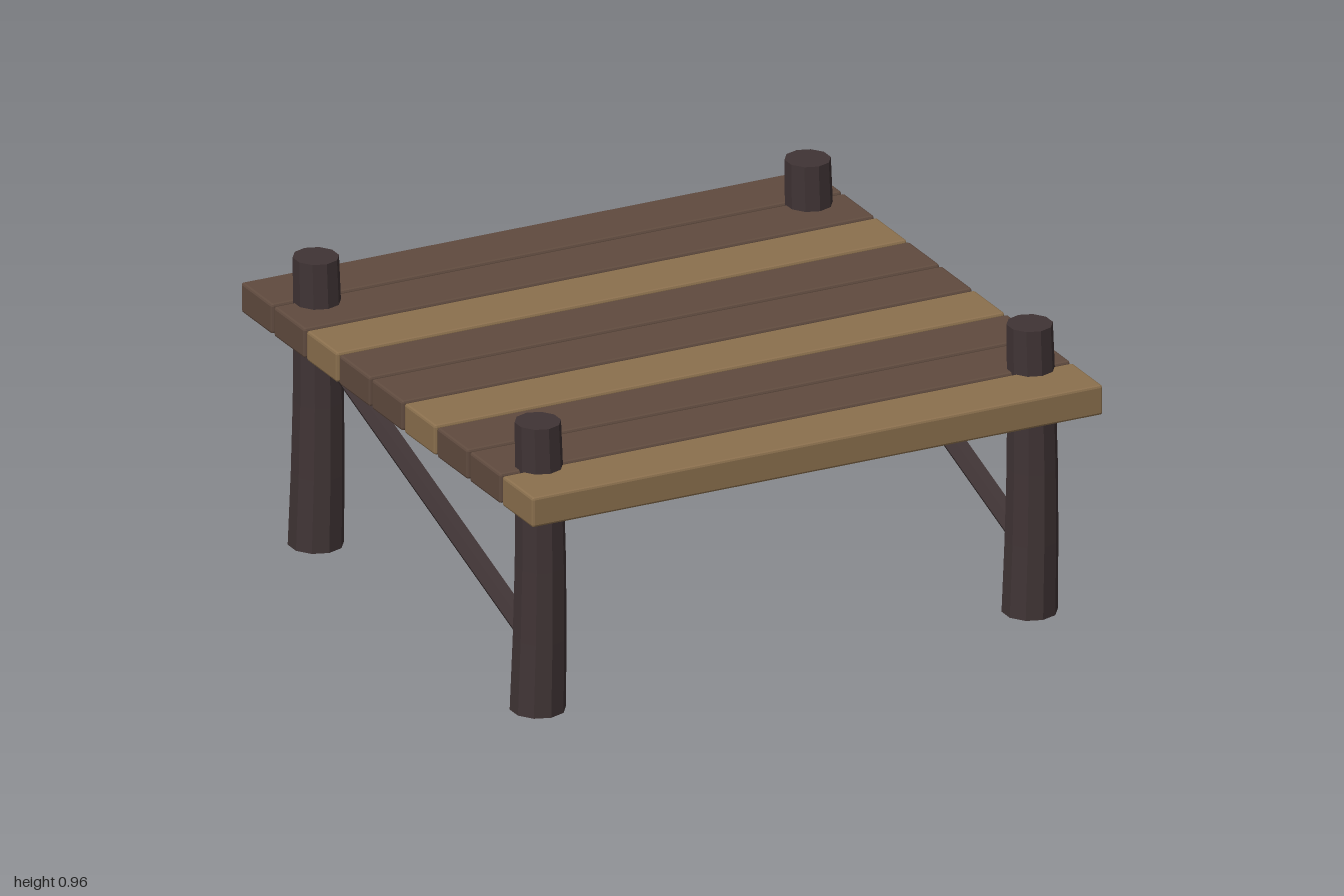
import * as THREE from 'three';
import { RoundedBoxGeometry } from 'three/addons/geometries/RoundedBoxGeometry.js';

const paint = (name, color) => {
  const m = new THREE.MeshStandardMaterial({ color, flatShading: true });
  m.name = name;
  return m;
};

// Tapered log with a slight bow towards +x halfway up
function postGeometry() {
  const height = 0.965;
  const g = new THREE.CylinderGeometry(0.075, 0.091, height, 10, 4);
  g.translate(0, height / 2, 0);
  const p = g.attributes.position;
  for (let i = 0; i < p.count; i++) {
    const t = p.getY(i) / height;
    p.setX(i, p.getX(i) * 0.97 + 0.009 * Math.sin(Math.PI * t));
  }
  g.computeVertexNormals();
  return g;
}

export function createModel() {
  const group = new THREE.Group();
  group.name = 'woodenDock';
  const tan = paint('tanWood', 0x8b704e);
  const brown = paint('brownWood', 0x604b3f);
  const dark = paint('darkWood', 0x403435);

  const add = (name, geometry, material, x, y, z) => {
    const mesh = new THREE.Mesh(geometry, material);
    mesh.name = name;
    mesh.position.set(x, y, z);
    group.add(mesh);
    return mesh;
  };

  // Deck: nine chamfered planks, every third one tan
  const plank = new RoundedBoxGeometry(1.995, 0.1, 0.207, 1, 0.008);
  for (let i = 0; i < 9; i++) {
    add('plank' + (i + 1), plank, i % 3 === 2 ? tan : brown, 0, 0.765, (i - 4) * 0.2205);
  }

  // Corner posts
  const post = postGeometry();
  for (const x of [-0.86, 0.86]) {
    for (const z of [-0.745, 0.755]) {
      add(z > 0 ? 'frontPost' : 'backPost', post, dark, x, 0, z);
    }
  }

  // Diagonal braces: low at the front posts, high at the back posts
  const low = new THREE.Vector3(0, 0.222, 0.71);
  const high = new THREE.Vector3(0, 0.695, -0.7);
  const axis = high.clone().sub(low);
  const brace = new THREE.CylinderGeometry(0.037, 0.037, axis.length(), 6);
  brace.rotateY(Math.PI / 6); // a corner points sideways
  brace.rotateX(Math.atan2(axis.z, axis.y));
  for (const x of [-0.86, 0.86]) {
    add('brace', brace, dark, x, (low.y + high.y) / 2, (low.z + high.z) / 2);
  }

  return group;
}
